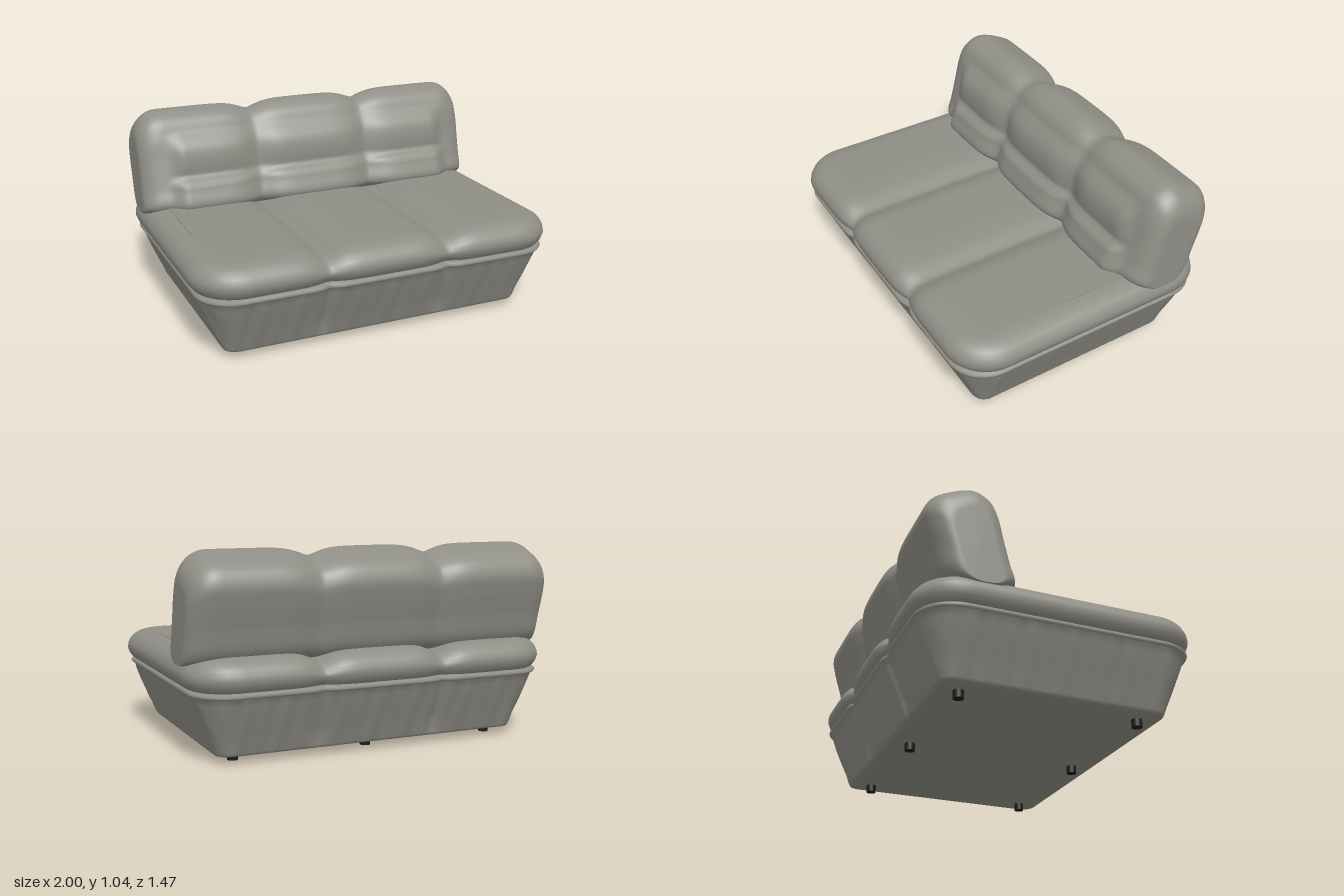
import * as THREE from 'three';

const fabric = new THREE.MeshStandardMaterial({ name: 'greyFabric', color: 0x8f8e86 });
const black = new THREE.MeshStandardMaterial({ name: 'blackFeet', color: 0x1a1a1c });
const smooth = THREE.MathUtils.smoothstep;
const SEAM_X = 0.33;

// Strength (0..1) of the stitched valley between neighbouring cushions
const seam = (x, width) => Math.exp(-Math.pow(Math.abs(Math.abs(x) - SEAM_X) / width, 1.5));

// Skin a series of closed rings, each with the same number of points
function loft(rings) {
  const n = rings[0].length, index = [], pos = [];
  rings.forEach(r => r.forEach(p => pos.push(p.x, p.y, p.z)));
  for (let i = 0; i < rings.length - 1; i++) {
    for (let j = 0; j < n; j++) {
      const k = (j + 1) % n, a = i * n + j, b = i * n + k;
      index.push(a, b, a + n, b, b + n, a + n);
    }
  }
  const g = new THREE.BufferGeometry();
  g.setAttribute('position', new THREE.Float32BufferAttribute(pos, 3));
  g.setIndex(index);
  g.computeVertexNormals();
  return g;
}

// Rounded rectangle at height y, counter-clockwise seen from above
function outline(hx, hz, r, y) {
  const pts = [], corner = 10;
  const cx = hx - r, cz = hz - r;
  const centres = [[cx, -cz], [-cx, -cz], [-cx, cz], [cx, cz]];
  centres.forEach(([x, z], q) => {
    for (let i = 0; i <= corner; i++) {
      const a = (q + i / corner) * Math.PI / 2;
      pts.push(new THREE.Vector3(x + r * Math.cos(a), y, z - r * Math.sin(a)));
    }
    // straight run to the next corner
    const a = (q + 1) * Math.PI / 2, [nx, nz] = centres[(q + 1) % 4];
    const steps = q % 2 ? 40 : 100;
    for (let i = 1; i < steps; i++) {
      const t = i / steps;
      pts.push(new THREE.Vector3(
        x + (nx - x) * t + r * Math.cos(a), y, z + (nz - z) * t - r * Math.sin(a)));
    }
  });
  return pts;
}

// Copy of a ring drawn in towards its long axis, to close a face
const shrink = (ring, t, y) => ring.map(p => new THREE.Vector3(p.x, y, p.z * t));

function seatGeometry() {
  // inset from the widest outline, height
  const profile = [[0.06, 0.365], [0.03, 0.38], [0.01, 0.405], [0, 0.435], [0.004, 0.46],
    [0.016, 0.485], [0.035, 0.506], [0.06, 0.521], [0.09, 0.53], [0.125, 0.535]];
  const rings = profile.map(([d, y]) => outline(1 - d, 0.737 - d, 0.24 - d, y));
  const rim = rings[rings.length - 1];
  [0.9, 0.7, 0.45, 0.2, 0].forEach(t => rings.push(shrink(rim, t, 0.54 - 0.005 * t)));
  // press in the two seams
  rings.flat().forEach(p => {
    const d = seam(p.x, 0.075);
    p.y -= 0.045 * d * smooth(p.y, 0.38, 0.53);
    p.z -= Math.sign(p.z) * 0.035 * d * Math.pow(Math.abs(p.z) / 0.737, 2);
  });
  return loft(rings);
}

function baseGeometry() {
  // half width, height; the bulge near the top is the piping
  const profile = [[0.825, 0.04], [0.838, 0.044], [0.846, 0.058], [0.865, 0.11], [0.886, 0.16],
    [0.907, 0.21], [0.928, 0.26], [0.948, 0.31], [0.96, 0.343], [0.971, 0.35],
    [0.977, 0.36], [0.971, 0.37], [0.955, 0.376], [0.93, 0.38]];
  const rings = profile.map(([hx, y]) => outline(hx, hx - 0.255, 0.05 + 0.42 * y, y));
  // soft vertical gathers and the two seams
  rings.forEach((ring, i) => ring.forEach(p => {
    const [hx, y] = profile[i];
    const hz = hx - 0.255;
    const w = smooth(y, 0.05, 0.15) * (1 - smooth(y, 0.29, 0.345));
    const onLong = smooth(Math.abs(p.z) / hz, 0.85, 1), onEnd = smooth(Math.abs(p.x) / hx, 0.9, 1);
    const ripple = u => 0.0035 * w * (Math.sin(u * 62) + 0.6 * Math.sin(u * 37 + 1));
    const valley = 0.022 * seam(p.x, 0.035) * smooth(y, 0.04, 0.12);
    const dx = ripple(p.z) * onEnd, dz = (ripple(p.x) - valley) * onLong;
    p.x += Math.sign(p.x) * dx;
    p.z += Math.sign(p.z) * dz;
  }));
  // flat underside, with its own crisp edge
  const edge = rings[0].map(p => p.clone());
  return [loft(rings), loft([shrink(edge, 0, 0.04), edge])];
}

function backrestGeometry() {
  // side profile as z, y: top, front, bottom, back
  const profile = [[-0.48, 1.04], [-0.39, 1.0], [-0.345, 0.92], [-0.31, 0.78], [-0.275, 0.64],
    [-0.25, 0.545], [-0.3, 0.5], [-0.43, 0.485], [-0.57, 0.5], [-0.62, 0.55], [-0.66, 0.68],
    [-0.697, 0.8], [-0.711, 0.88], [-0.682, 0.95], [-0.595, 1.005]];
  const curve = new THREE.CatmullRomCurve3(
    profile.map(([z, y]) => new THREE.Vector3(0, y, z)), true, 'centripetal');
  const section = curve.getPoints(130).slice(0, -1);
  const axisZ = y => -0.43 - (y - 0.5) * 0.22;

  // stations along x with the amount of rounding at each
  const stations = [], round = 0.14, steps = 10, span = 110;
  const cap = i => {
    const a = i / steps * Math.PI / 2;
    return [0.995 - round + round * Math.sin(a), 1 - Math.cos(a)];
  };
  for (let i = steps; i > 0; i--) stations.push([-cap(i)[0], cap(i)[1]]);
  for (let i = 0; i <= span; i++) stations.push([(0.995 - round) * (2 * i / span - 1), 0]);
  for (let i = 1; i <= steps; i++) stations.push(cap(i));

  const rings = stations.map(([x, e]) => {
    const d = seam(x, 0.085);
    const sy = 1 - (0.15 * e + 0.042 * d) / 0.54, sz = 1 - (0.1 * e + 0.028 * d) / 0.2;
    const padX = (1 - smooth(Math.abs(x), 0.76, 0.87)) * (1 - 0.45 * d);
    return section.map(p => {
      const y = p.y > 0.5 ? 0.5 + (p.y - 0.5) * sy : p.y;
      const off = p.z - axisZ(p.y);
      // upper and lower padded rolls on the front
      let pad = 0.018 * (1 - smooth(y, 0.84, 0.95));
      if (y > 0.7 && y < 0.93) pad += 0.024 * Math.sin((y - 0.7) / 0.23 * Math.PI);
      pad += 0.04 * (1 - smooth(y, 0.655, 0.7));
      return new THREE.Vector3(x, y, axisZ(y) + off * sz + pad * padX * smooth(off, 0.05, 0.12));
    });
  });
  // close both ends
  const close = ring => {
    const c = ring.reduce((s, p) => s.add(p), new THREE.Vector3()).divideScalar(ring.length);
    return ring.map(() => c.clone());
  };
  return loft([close(rings[0]), ...rings, close(rings[rings.length - 1])]);
}

export function createModel() {
  const model = new THREE.Group();
  model.name = 'sofa';
  const add = (name, geometry, material) => {
    const mesh = new THREE.Mesh(geometry, material);
    mesh.name = name;
    model.add(mesh);
    return mesh;
  };

  const [skirt, underside] = baseGeometry();
  add('baseSkirt', skirt, fabric);
  add('baseUnderside', underside, fabric);
  add('seatCushion', seatGeometry(), fabric);
  add('backrest', backrestGeometry(), fabric);

  // two rows of three feet
  const foot = new THREE.CylinderGeometry(0.027, 0.027, 0.045, 20);
  for (const x of [-0.73, 0, 0.73]) {
    for (const z of [-0.468, 0.468]) add('foot', foot, black).position.set(x, 0.0225, z);
  }
  return model;
}
